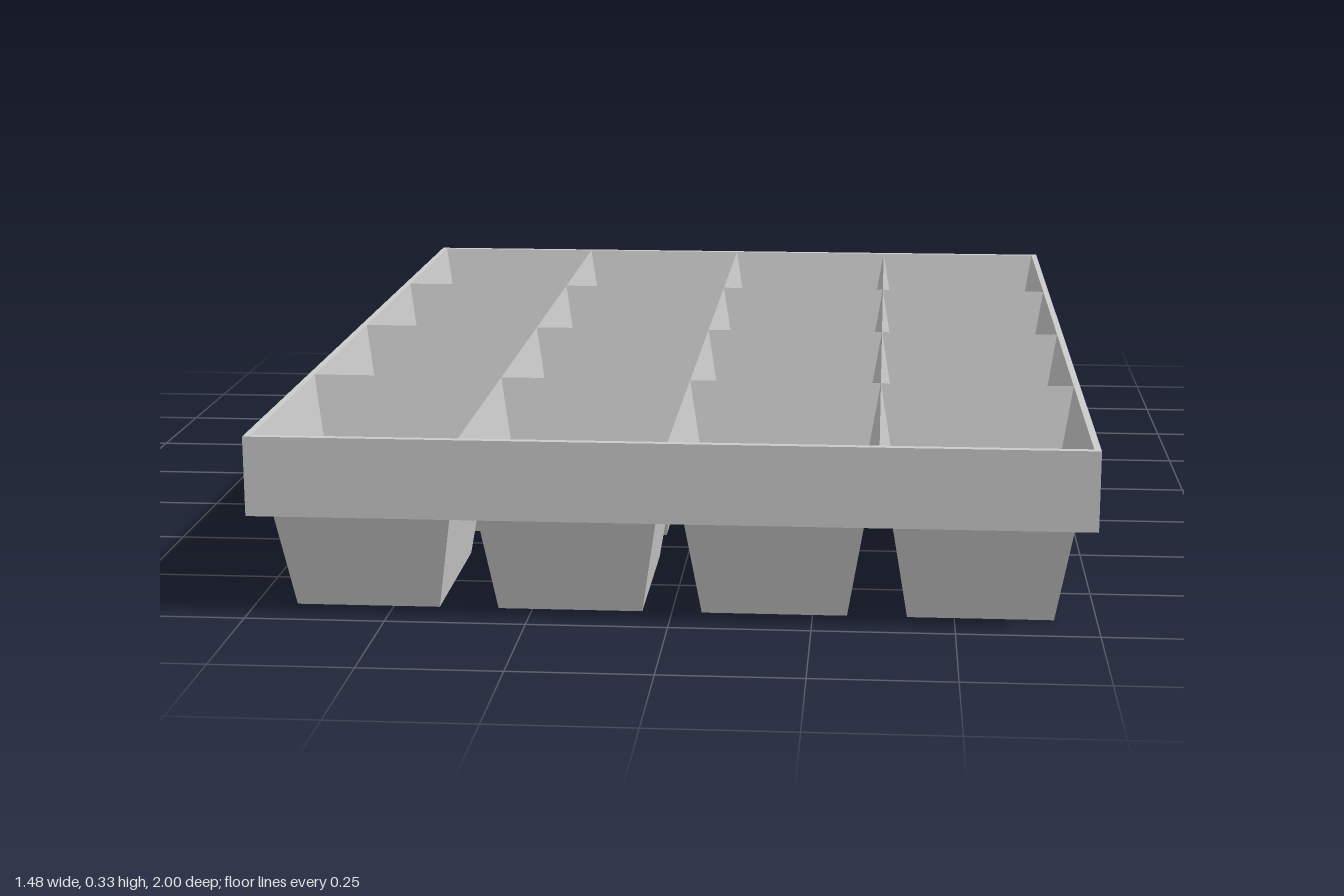
import * as THREE from 'three';

const HEIGHT = 0.33, SKIRT_Y = 0.187, COLS = 4, ROWS = 4;
const PITCH_X = 0.364, PITCH_Z = 0.493;
const HALF_X = 0.74, HALF_Z = 1;

// Skin over rectangular cross-sections [halfX, y, halfZ], capped at both ends
function rectLoft(sections) {
  const corners = [[-1, 1], [1, 1], [1, -1], [-1, -1]];
  const pos = [];
  const pt = ([hx, y, hz], k) => [corners[k % 4][0] * hx, y, corners[k % 4][1] * hz];
  const quad = (a, b, c, d) => pos.push(...a, ...b, ...c, ...a, ...c, ...d);
  for (let i = 0; i < sections.length - 1; i++) {
    for (let k = 0; k < 4; k++) {
      const lo = sections[i], hi = sections[i + 1];
      quad(pt(lo, k), pt(lo, k + 1), pt(hi, k + 1), pt(hi, k));
    }
  }
  const first = sections[0], last = sections[sections.length - 1];
  quad(pt(first, 3), pt(first, 2), pt(first, 1), pt(first, 0));
  quad(pt(last, 0), pt(last, 1), pt(last, 2), pt(last, 3));
  const geo = new THREE.BufferGeometry();
  geo.setAttribute('position', new THREE.Float32BufferAttribute(pos, 3));
  geo.computeVertexNormals();
  return geo;
}

function rectPath(path, hx, hz) {
  path.moveTo(-hx, -hz);
  path.lineTo(hx, -hz);
  path.lineTo(hx, hz);
  path.lineTo(-hx, hz);
  path.closePath();
  return path;
}

export function createModel() {
  const group = new THREE.Group();
  group.name = 'seedTray';
  const material = new THREE.MeshStandardMaterial({ color: 0xcccccc, flatShading: true });

  // Skirt: thin upright frame around the cells
  const frame = rectPath(new THREE.Shape(), HALF_X, HALF_Z);
  frame.holes.push(rectPath(new THREE.Path(), PITCH_X * COLS / 2, PITCH_Z * ROWS / 2));
  const skirtGeo = new THREE.ExtrudeGeometry(frame, { depth: HEIGHT - SKIRT_Y, bevelEnabled: false });
  skirtGeo.rotateX(-Math.PI / 2).translate(0, SKIRT_Y, 0);
  const skirt = new THREE.Mesh(skirtGeo, material);
  skirt.name = 'skirt';
  group.add(skirt);

  // Cells: tapered open pots, outside up to the lip then down the inside
  const cellGeo = rectLoft([
    [0.129, 0, 0.171],
    [PITCH_X / 2, HEIGHT, PITCH_Z / 2],
    [0.125, 0.006, 0.167],
  ]);
  const cells = new THREE.Group();
  cells.name = 'cells';
  for (let r = 0; r < ROWS; r++) {
    for (let c = 0; c < COLS; c++) {
      const cell = new THREE.Mesh(cellGeo, material);
      cell.name = `cell_${r + 1}_${c + 1}`;
      cell.position.set((c - (COLS - 1) / 2) * PITCH_X, 0, (r - (ROWS - 1) / 2) * PITCH_Z);
      cells.add(cell);
    }
  }
  group.add(cells);
  return group;
}
